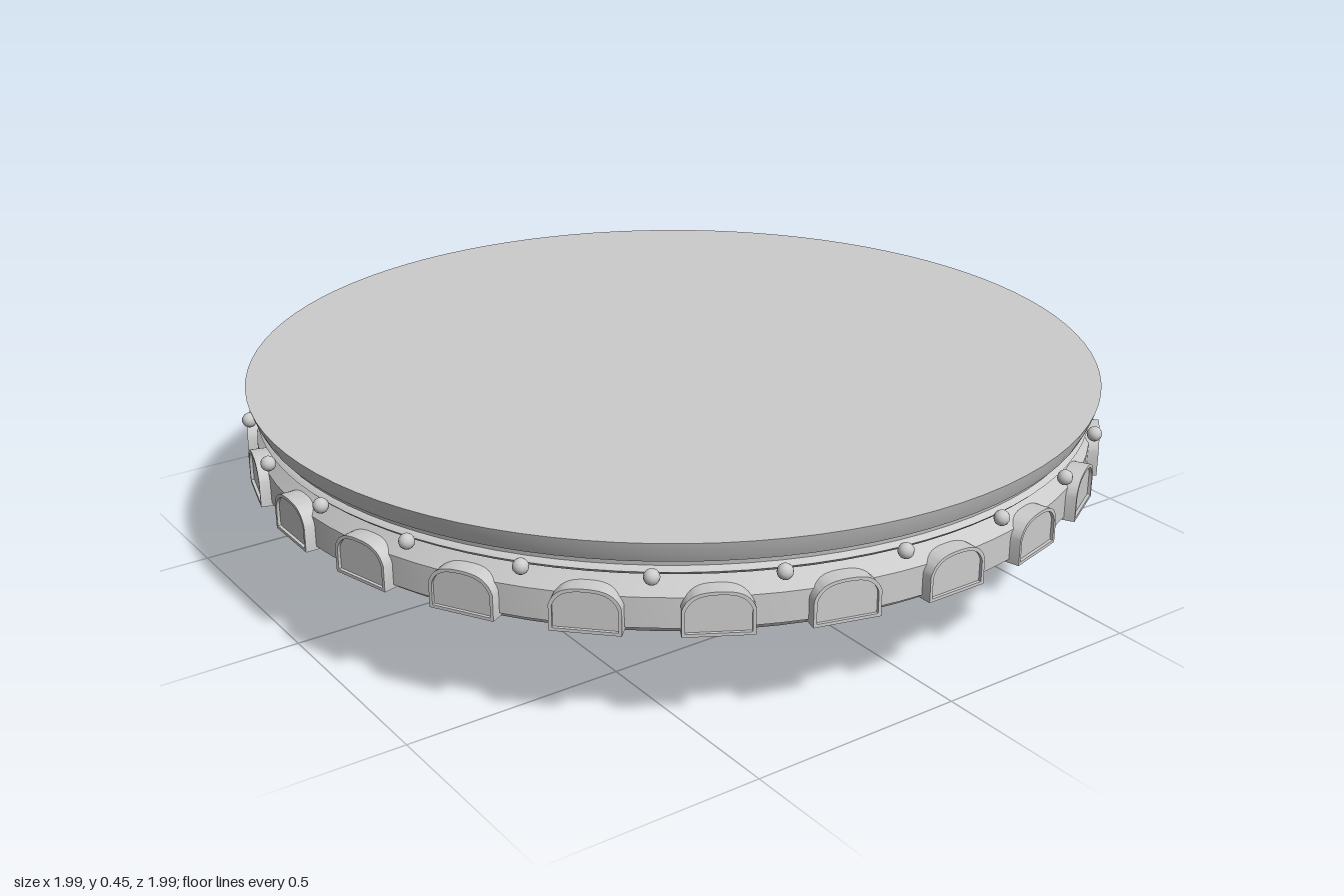
import * as THREE from 'three';
import { toCreasedNormals } from 'three/addons/utils/BufferGeometryUtils.js';

const FLOOR = 0.262; // height of the recessed underside

export function createModel() {
  const model = new THREE.Group();
  model.name = 'roundCeilingBoss';
  const stone = new THREE.MeshStandardMaterial({ color: 0xcccccc });
  stone.name = 'greyStone';

  const add = (name, geometry, parent = model) => {
    const mesh = new THREE.Mesh(geometry, stone);
    mesh.name = name;
    parent.add(mesh);
    return mesh;
  };
  const lathe = (points, segments = 96) => toCreasedNormals(
    new THREE.LatheGeometry(points.map(([r, y]) => new THREE.Vector2(r, y)), segments), 0.5);

  // Repeats a part around the vertical axis
  const around = (name, count, offset, geometry, place = () => {}) => {
    const ring = new THREE.Group();
    ring.name = name + 's';
    for (let i = 0; i < count; i++) {
      const arm = new THREE.Group();
      arm.rotation.y = (i + offset) * Math.PI * 2 / count;
      place(add(name, geometry, arm));
      ring.add(arm);
    }
    model.add(ring);
  };

  // Extrudes a flat shape (x across, y outward) downward from the floor
  const tracery = (shape, depth, curveSegments = 48) => {
    const g = new THREE.ExtrudeGeometry(shape, { depth, bevelEnabled: false, curveSegments });
    g.rotateX(Math.PI / 2);
    g.translate(0, FLOOR, 0);
    return toCreasedNormals(g, 0.5);
  };

  // Rim body with its recessed underside, stepped foot, band and cove
  add('rimBody', lathe([
    [0, FLOOR], [0.87, FLOOR], [0.87, 0.235], [0.885, 0.224], [0.905, 0.224],
    [0.91, 0.234], [0.945, 0.236], [0.955, 0.25], [0.974, 0.258], [0.974, 0.325],
    [0.95, 0.352], [0.942, 0.362], [0.962, 0.37], [0.97, 0.378], [0.962, 0.386], [0.95, 0.39],
  ]));

  // Flared top slab
  add('topSlab', lathe([
    [0, 0.388], [0.96, 0.388], [0.962, 0.399], [0.972, 0.402],
    [0.983, 0.425], [0.991, 0.45], [0, 0.45],
  ]));

  // Arched panels with raised frames
  const arch = (half, bottom, shoulder, top, Kind = THREE.Shape) => {
    const s = new Kind();
    s.moveTo(-half, bottom);
    s.lineTo(half, bottom);
    s.lineTo(half, shoulder);
    s.bezierCurveTo(half * 0.85, top - 0.006, half * 0.5, top, 0, top);
    s.bezierCurveTo(-half * 0.5, top, -half * 0.85, top - 0.006, -half, shoulder);
    s.lineTo(-half, bottom);
    return s;
  };
  const solid = (shape, depth) => toCreasedNormals(
    new THREE.ExtrudeGeometry(shape, { depth, bevelEnabled: false, curveSegments: 10 }), 0.5);
  const frameShape = arch(0.073, 0.25, 0.308, 0.347);
  frameShape.holes.push(arch(0.066, 0.257, 0.305, 0.340, THREE.Path));
  around('archPanel', 24, 0, solid(arch(0.07, 0.252, 0.307, 0.344), 0.035),
    m => { m.position.z = 0.953; });
  around('archFrame', 24, 0, solid(frameShape, 0.045), m => { m.position.z = 0.95; });

  // Beads around the cove
  around('bead', 24, 0.5, new THREE.SphereGeometry(0.017, 12, 8),
    m => { m.position.set(0, 0.377, 0.987); });

  // Petal outlines, wider toward the outside
  const petal = (centre, length, width, flare, bar) => {
    const outline = inset => {
      const pts = [];
      for (let i = 0; i < 40; i++) {
        const t = i / 40 * Math.PI * 2;
        pts.push(new THREE.Vector2(
          (width - inset) * Math.sin(t) * (1 + flare * Math.cos(t)),
          centre + (length - inset) * Math.cos(t)));
      }
      return pts;
    };
    const s = new THREE.Shape(outline(0));
    s.holes.push(new THREE.Path(outline(bar)));
    return s;
  };
  around('outerPetal', 12, 0.5, tracery(petal(0.735, 0.13, 0.168, 0.15, 0.018), 0.022));
  around('innerPetal', 12, 0.5, tracery(petal(0.405, 0.165, 0.09, 0.3, 0.014), 0.022));

  // Flat rings
  const annulus = (outer, inner, y = 0) => {
    const s = new THREE.Shape().absarc(0, y, outer, 0, Math.PI * 2);
    s.holes.push(new THREE.Path().absarc(0, y, inner, 0, Math.PI * 2));
    return s;
  };
  add('middleRing', tracery(annulus(0.608, 0.588), 0.025));
  add('middleInnerRing', tracery(annulus(0.577, 0.566), 0.02));
  add('hubRing', tracery(annulus(0.235, 0.21), 0.028, 12));
  add('hubInnerRing', tracery(annulus(0.165, 0.15), 0.022));
  add('outerRing', tracery(annulus(0.872, 0.85), 0.022));

  // Small roundels where the petals meet the middle ring
  around('roundel', 12, 0.5, tracery(annulus(0.034, 0.02, 0.635), 0.027, 16));

  // Tapered spokes between the petals
  const spoke = new THREE.Shape([
    [-0.012, 0.22], [0.012, 0.22], [0.021, 0.865], [-0.021, 0.865],
  ].map(p => new THREE.Vector2(...p)));
  around('spoke', 12, 0, tracery(spoke, 0.028));

  // Hub plate and hanging pendant
  add('hubPlate', lathe([
    [0, 0.222], [0.088, 0.222], [0.115, 0.226], [0.12, 0.236], [0.12, FLOOR],
  ], 48));
  add('pendantBowl', lathe([
    [0, 0.119], [0.014, 0.12], [0.032, 0.132], [0.05, 0.152],
    [0.066, 0.178], [0.078, 0.204], [0.087, 0.228],
  ], 32));
  add('pendantDrop', lathe([
    [0, 0], [0.009, 0.008], [0.019, 0.028], [0.025, 0.056],
    [0.024, 0.078], [0.018, 0.104], [0.01, 0.124],
  ], 20));

  return model;
}
